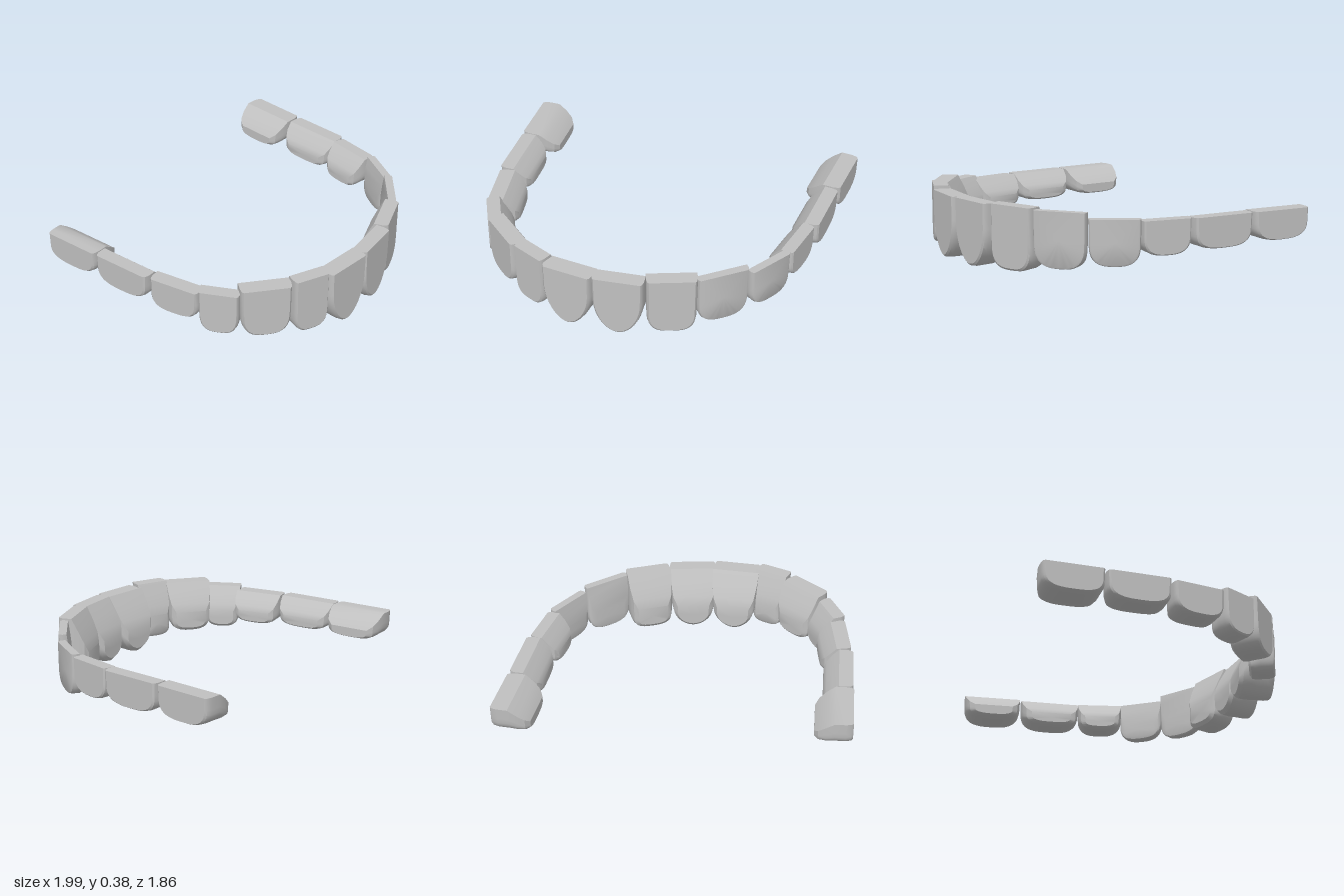
import * as THREE from 'three';
import { toCreasedNormals } from 'three/addons/utils/BufferGeometryUtils.js';

// Each tooth: outer edge start (x, z) and end (x, z), rim depth, full depth,
// bottom and top height, squareness and length of the rounded tip
const TEETH = [
  ['rightBackMolar', -1.0, -0.375, -0.905, -0.04, 0.10, 0.21, 0.16, 0.313, 3, 0.6],
  ['rightMiddleMolar', -0.9, -0.035, -0.8, 0.31, 0.08, 0.165, 0.15, 0.313, 3, 0.6],
  ['rightFrontMolar', -0.785, 0.325, -0.665, 0.595, 0.085, 0.165, 0.135, 0.313, 3, 0.55],
  ['rightPremolar', -0.665, 0.605, -0.52, 0.77, 0.075, 0.15, 0.085, 0.335, 2.8, 0.5],
  ['rightCanine', -0.51, 0.78, -0.26, 0.895, 0.095, 0.175, 0.07, 0.367, 2.8, 0.5],
  ['rightIncisor', -0.24, 0.897, -0.038, 0.926, 0.08, 0.145, 0.05, 0.383, 3, 0.35],
  ['frontIncisor', -0.03, 0.935, 0.25, 0.885, 0.1, 0.21, 0.005, 0.365, 1.8, 0.62],
  ['leftIncisor', 0.25, 0.875, 0.51, 0.77, 0.085, 0.19, 0.005, 0.365, 1.9, 0.6],
  ['leftCanine', 0.515, 0.745, 0.735, 0.585, 0.08, 0.165, 0.02, 0.37, 3, 0.4],
  ['leftFrontPremolar', 0.73, 0.57, 0.9, 0.335, 0.045, 0.065, 0.055, 0.36, 2.8, 0.45],
  ['leftBackPremolar', 0.915, 0.325, 0.997, 0.065, 0.045, 0.07, 0.08, 0.33, 2.8, 0.5],
  ['leftFrontMolar', 1.0, 0.055, 0.985, -0.22, 0.07, 0.155, 0.13, 0.32, 2.8, 0.55],
  ['leftMiddleMolar', 1.0, -0.23, 0.935, -0.585, 0.08, 0.165, 0.145, 0.32, 3, 0.6],
  ['leftBackMolar', 0.937, -0.595, 0.88, -0.935, 0.1, 0.21, 0.155, 0.32, 2.8, 0.6],
];

const ARC = 20;

// U-shaped outline from the top left corner, round the tip, to the top right
function outline(half, bottom, top, power, tip) {
  const r = tip * (top - bottom);
  const points = [[-half, top]];
  for (let i = 0; i <= ARC; i++) {
    const a = (i / ARC) * Math.PI;
    const c = Math.cos(a), s = Math.sin(a);
    points.push([
      -Math.sign(c) * Math.pow(Math.abs(c), 2 / power) * half * 0.985,
      bottom + r - Math.pow(Math.abs(s), 2 / power) * r,
    ]);
  }
  points.push([half, top]);
  return points;
}

// Lofts the outlines from the outer face to the inner bulge
function toothGeometry(width, rim, depth, bottom, top, power, tip) {
  const half = width / 2, H = top - bottom, bulge = depth - rim;
  // depth, width factor, bottom, top
  const layers = [
    [0, 0.9, bottom + 0.045 * H, top],
    [0.1 * rim, 0.96, bottom + 0.015 * H, top],
    [0.4 * rim, 1, bottom, top],
    [rim, 1, bottom, top],
    [rim + 0.45 * bulge, 0.96, bottom, top - 0.22 * H],
    [rim + 0.8 * bulge, 0.87, bottom + 0.02 * H, top - 0.42 * H],
    [depth, 0.68, bottom + 0.08 * H, top - 0.58 * H],
  ];
  const positions = [], index = [];
  for (const [d, k, b, t] of layers) {
    for (const [x, y] of outline(half * k, b, t, power, tip)) positions.push(x, y, -d);
  }
  const n = ARC + 3, last = (layers.length - 1) * n;
  for (let l = 0; l < layers.length - 1; l++) {
    for (let i = 0; i < n; i++) {
      const j = (i + 1) % n;
      const a = l * n + i, b = l * n + j, c = b + n, d = a + n;
      index.push(a, d, b, b, d, c);
    }
  }
  // Outer and inner faces
  const outer = positions.length / 3, inner = outer + 1;
  positions.push(0, (bottom + top) / 2, 0, 0, bottom + 0.25 * H, -depth);
  for (let i = 0; i < n; i++) {
    const j = (i + 1) % n;
    index.push(outer, i, j, inner, last + j, last + i);
  }
  const geometry = new THREE.BufferGeometry();
  geometry.setAttribute('position', new THREE.Float32BufferAttribute(positions, 3));
  geometry.setIndex(index);
  return toCreasedNormals(geometry, 0.6);
}

export function createModel() {
  const arch = new THREE.Group();
  arch.name = 'dentalArch';
  const enamel = new THREE.MeshStandardMaterial({ color: 0xc0c0c0 });
  enamel.name = 'greyEnamel';

  // Teeth set side by side along the arch, outer faces outward
  for (const [name, x0, z0, x1, z1, ...shape] of TEETH) {
    const width = Math.hypot(x1 - x0, z1 - z0);
    const tooth = new THREE.Mesh(toothGeometry(width, ...shape), enamel);
    tooth.name = name;
    tooth.position.set((x0 + x1) / 2, 0, (z0 + z1) / 2);
    tooth.rotation.y = Math.atan2(z0 - z1, x1 - x0);
    arch.add(tooth);
  }
  return arch;
}
